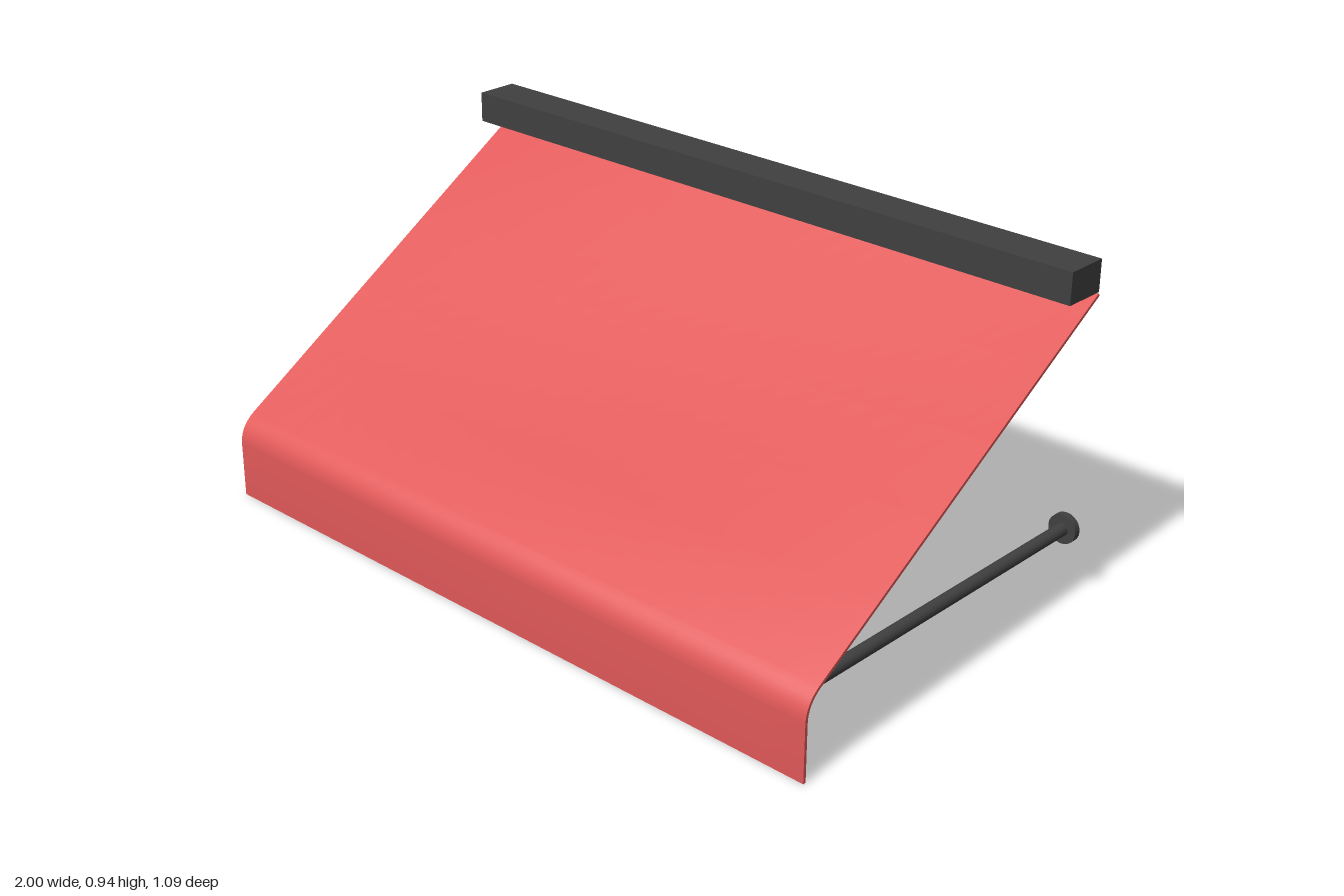
import * as THREE from 'three';
import { toCreasedNormals } from 'three/addons/utils/BufferGeometryUtils.js';

const fabric = new THREE.MeshStandardMaterial({ color: 0xe05858, side: THREE.DoubleSide });
const metal = new THREE.MeshStandardMaterial({ color: 0x404040, side: THREE.DoubleSide });

function add(parent, name, geometry, material, x = 0, y = 0, z = 0) {
  const mesh = new THREE.Mesh(geometry, material);
  mesh.name = name;
  mesh.position.set(x, y, z);
  parent.add(mesh);
  return mesh;
}

// Fabric sheet: side profile (z, y) thickened, extruded across the width, then sagged
function canopyGeometry() {
  const thickness = 0.008, front = 0.5, back = -0.495;
  const outer = [new THREE.Vector2(0.545, 0)];
  const bend = new THREE.CubicBezierCurve(
    new THREE.Vector2(0.545, 0.155), new THREE.Vector2(0.545, 0.19),
    new THREE.Vector2(0.527, 0.216), new THREE.Vector2(front, 0.234));
  outer.push(...bend.getPoints(8));
  for (let i = 1; i <= 5; i++) {
    const t = i / 5;
    outer.push(new THREE.Vector2(THREE.MathUtils.lerp(front, back, t), THREE.MathUtils.lerp(0.234, 0.856, t)));
  }
  const inner = outer.map((p, i) => {
    const a = outer[Math.max(i - 1, 0)], b = outer[Math.min(i + 1, outer.length - 1)];
    const d = b.clone().sub(a).normalize();
    return new THREE.Vector2(p.x - d.y * thickness, p.y + d.x * thickness);
  });
  const shape = new THREE.Shape([...outer, ...inner.reverse()]);
  const geo = new THREE.ExtrudeGeometry(shape, { depth: 2, steps: 20, bevelEnabled: false });
  geo.translate(0, 0, -1).rotateY(-Math.PI / 2);
  const pos = geo.attributes.position;
  for (let i = 0; i < pos.count; i++) {
    const t = THREE.MathUtils.clamp((front - pos.getZ(i)) / (front - back), 0, 1);
    const sag = 0.042 * Math.sin(Math.PI * t) * Math.cos(Math.PI * pos.getX(i) / 2);
    pos.setY(i, pos.getY(i) - sag);
  }
  return toCreasedNormals(geo, 0.7);
}

export function createModel() {
  const group = new THREE.Group();
  group.name = 'awning';

  add(group, 'canopy', canopyGeometry(), fabric);

  // Roller housing, a box left open on the wall side
  const box = new THREE.BoxGeometry(2, 0.084, 0.12);
  box.setIndex(Array.from(box.index.array).slice(0, 30));
  box.clearGroups();
  add(group, 'housing', box, metal, 0, 0.902, -0.435);

  // Support frame: front bar, two arms and their wall plates
  const frame = new THREE.Group();
  frame.name = 'supportFrame';
  group.add(frame);
  const r = 0.0175, armX = 0.9375, armY = 0.193, barZ = 0.487;
  add(frame, 'frontBar', new THREE.CylinderGeometry(r, r, armX * 2, 20).rotateZ(Math.PI / 2), metal, 0, armY, barZ);
  for (const side of [1, -1]) {
    const label = side > 0 ? 'left' : 'right';
    const x = side * armX;
    add(frame, label + 'Arm', new THREE.CylinderGeometry(r, r, barZ + 0.527, 20).rotateX(Math.PI / 2),
      metal, x, armY, (barZ - 0.527) / 2);
    add(frame, label + 'Corner', new THREE.SphereGeometry(r, 20, 12), metal, x, armY, barZ);
    add(frame, label + 'WallPlate', new THREE.CylinderGeometry(0.04, 0.04, 0.019, 24).rotateX(Math.PI / 2),
      metal, x, armY, -0.5355);
  }
  return group;
}
